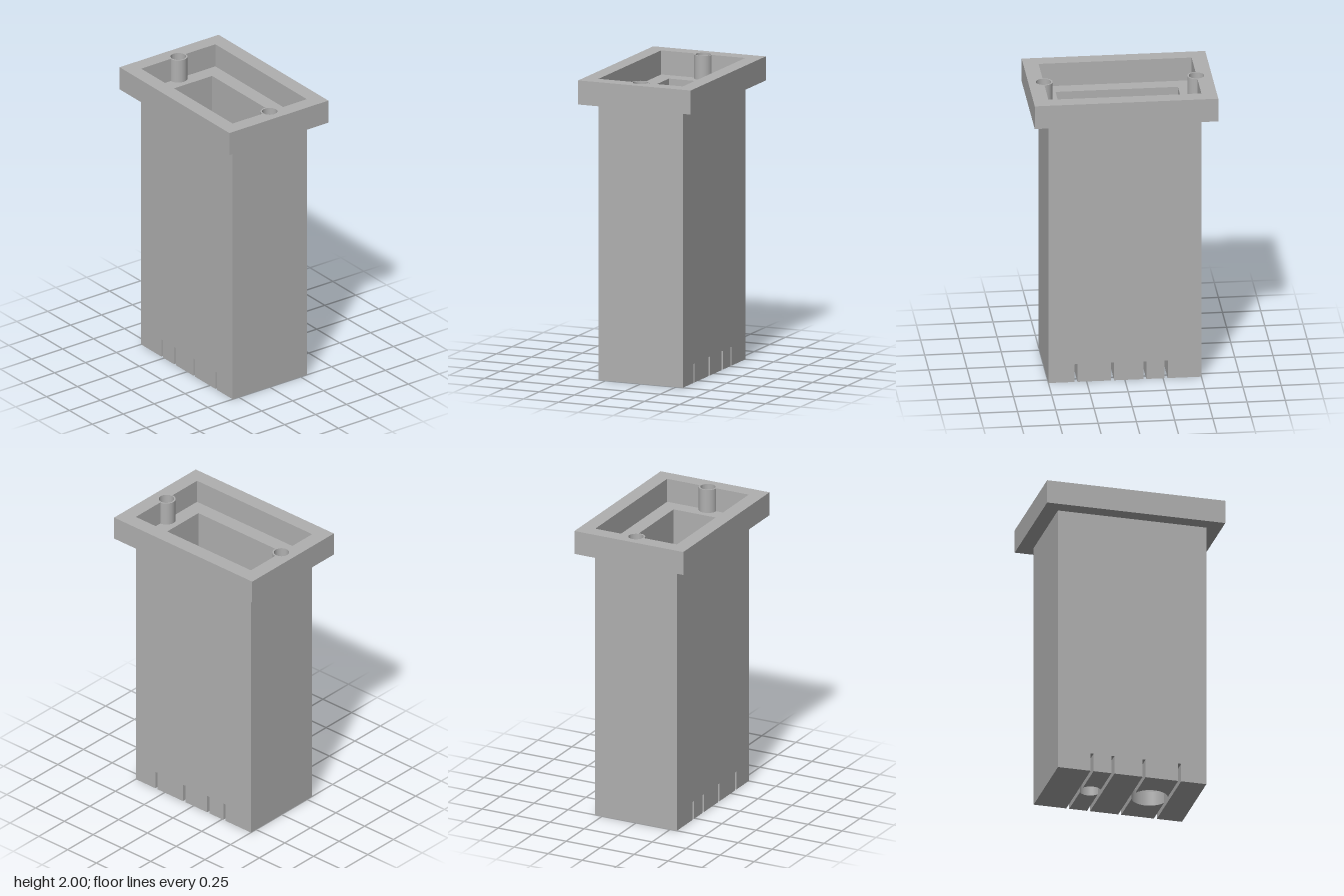
import * as THREE from 'three';

const grey = new THREE.MeshStandardMaterial({ color: 0xb0b0b0 });
grey.name = 'grey';

const LEDGE = 1.84; // top of the body, underside of the collar
const FLOOR = 0.1;
const SLOT_HEIGHT = 0.125;
const SLOTS = [[-0.28, -0.26], [-0.14, -0.12], [0.07, 0.09], [0.31, 0.33]];

function add(group, name, geometry, x = 0, y = 0, z = 0) {
  const mesh = new THREE.Mesh(geometry, grey);
  mesh.name = name;
  mesh.position.set(x, y, z);
  group.add(mesh);
  return mesh;
}

function polygon(points) {
  return new THREE.Shape(points.map(([x, y]) => new THREE.Vector2(x, y)));
}

function extrude(shape, depth) {
  return new THREE.ExtrudeGeometry(shape, { depth, bevelEnabled: false, curveSegments: 32 });
}

// Extrude a plan outline upwards (shape y becomes -z)
function extrudeUp(shape, height) {
  return extrude(shape, height).rotateX(-Math.PI / 2);
}

function addWalls(group) {
  // Long walls, notched by the slots at the bottom edge
  const outline = [[-0.5, 0]];
  for (const [a, b] of SLOTS) {
    outline.push([a, 0], [a, SLOT_HEIGHT], [b, SLOT_HEIGHT], [b, 0]);
  }
  outline.push([0.5, 0], [0.5, LEDGE], [-0.5, LEDGE]);
  const longWall = extrude(polygon(outline), 0.1);
  add(group, 'frontWall', longWall, 0, 0, 0.2);
  add(group, 'backWall', longWall, 0, 0, -0.3);

  // Short end walls
  const endWall = new THREE.BoxGeometry(0.1, LEDGE, 0.4);
  for (const s of [-1, 1]) add(group, s > 0 ? 'leftWall' : 'rightWall', endWall, s * 0.45, LEDGE / 2, 0);
}

function addFloor(group) {
  // Plain floor strips between the slots
  for (const [a, b] of [[-0.4, -0.28], [-0.12, 0.07], [0.33, 0.4]]) {
    add(group, 'floorStrip', new THREE.BoxGeometry(b - a, FLOOR, 0.4), (a + b) / 2, FLOOR / 2, 0);
  }
  // Tongues on both sides of each round opening
  for (const [x, half, radius] of [[-0.2, 0.06, 0.07], [0.2, 0.11, 0.12]]) {
    const start = Math.acos(half / radius);
    const shape = new THREE.Shape();
    shape.moveTo(half, 0.2);
    shape.lineTo(-half, 0.2);
    shape.lineTo(-half, radius * Math.sin(start));
    shape.absarc(0, 0, radius, Math.PI - start, start, true);
    shape.closePath();
    const tongue = extrudeUp(shape, FLOOR);
    add(group, 'backTongue', tongue, x);
    add(group, 'frontTongue', tongue, x).rotation.y = Math.PI;
  }
}

function addCollar(group) {
  const shape = polygon([[-0.6, -0.4], [0.6, -0.4], [0.6, 0.4], [-0.6, 0.4]]);

  // Pocket with a rounded screw boss standing in from each end
  const pocket = new THREE.Path();
  pocket.moveTo(-0.5, -0.3);
  pocket.lineTo(0.5, -0.3);
  pocket.lineTo(0.5, -0.06);
  pocket.absarc(0.5, 0, 0.06, Math.PI * 1.5, Math.PI / 2, true);
  pocket.lineTo(0.5, 0.3);
  pocket.lineTo(-0.5, 0.3);
  pocket.lineTo(-0.5, 0.06);
  pocket.absarc(-0.5, 0, 0.06, Math.PI / 2, -Math.PI / 2, true);
  pocket.closePath();
  shape.holes.push(pocket);

  // Blind screw holes
  for (const x of [-0.5, 0.5]) {
    shape.holes.push(new THREE.Path().absarc(x, 0, 0.05, 0, Math.PI * 2, true));
    add(group, 'screwHoleBottom', new THREE.CylinderGeometry(0.05, 0.05, 0.03, 64), x, LEDGE + 0.015, 0);
  }
  add(group, 'collar', extrudeUp(shape, 2 - LEDGE), 0, LEDGE, 0);
}

export function createModel() {
  const model = new THREE.Group();
  model.name = 'slottedHousing';
  addWalls(model);
  addFloor(model);
  addCollar(model);
  return model;
}
